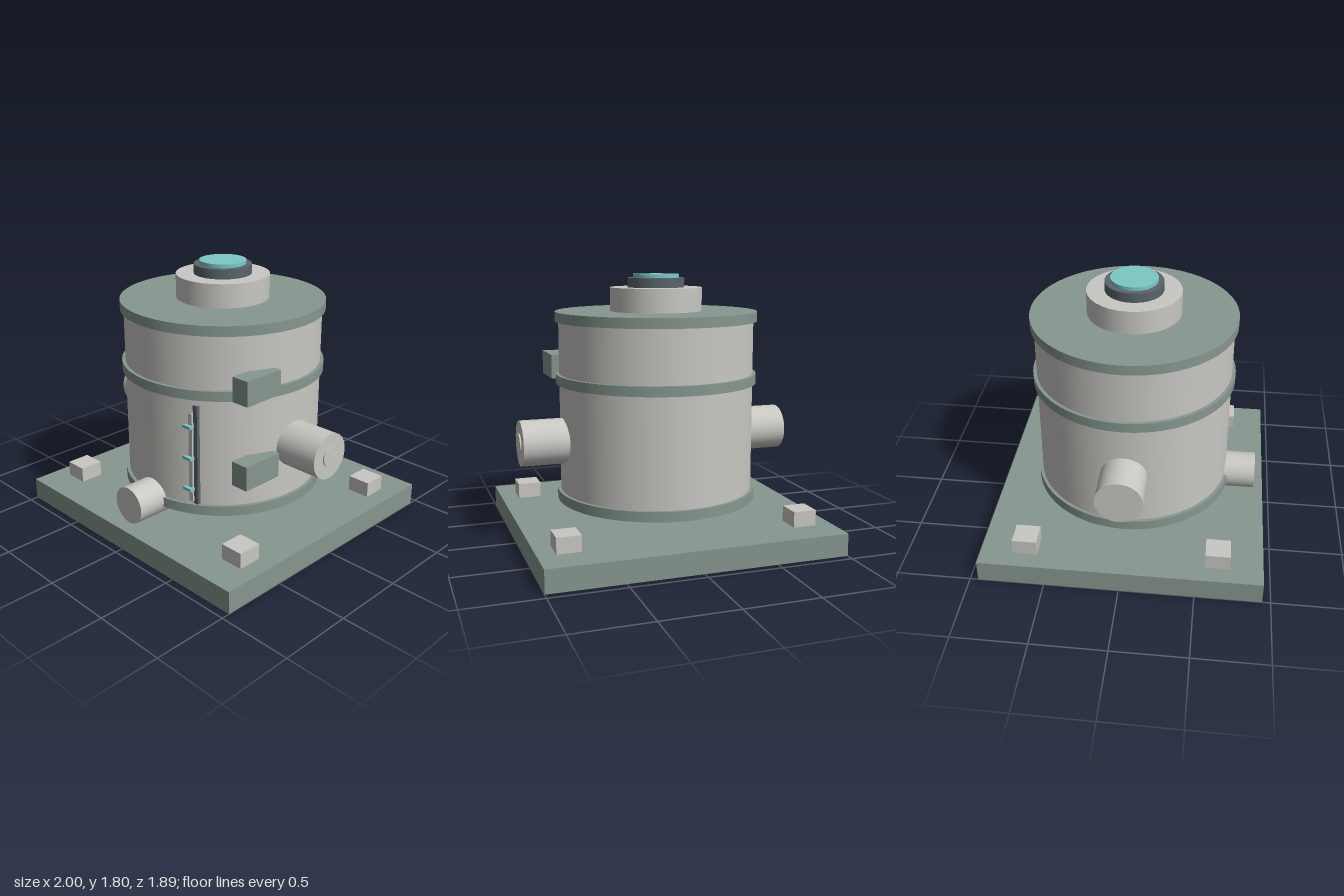
import * as THREE from 'three';

export function createModel() {
  const model = new THREE.Group();
  model.name = 'tank';

  const material = (name, color) => {
    const m = new THREE.MeshStandardMaterial({ color });
    m.name = name;
    return m;
  };
  const green = material('greyGreenPaint', 0x87978f);
  const grey = material('lightGreyMetal', 0xc9c8c3);
  const dark = material('darkSlate', 0x5a646b);
  const teal = material('tealGlass', 0x7cc9c6);

  const add = (name, geometry, mat) => {
    const mesh = new THREE.Mesh(geometry, mat);
    mesh.name = name;
    model.add(mesh);
    return mesh;
  };

  // Box given by its extents on each axis
  const box = (name, mat, [x0, x1], [y0, y1], [z0, z1]) =>
    add(name, new THREE.BoxGeometry(x1 - x0, y1 - y0, z1 - z0), mat)
      .position.set((x0 + x1) / 2, (y0 + y1) / 2, (z0 + z1) / 2);

  // Upright disc or drum between two heights
  const drum = (name, mat, radius, y0, y1, sides = 32) =>
    add(name, new THREE.CylinderGeometry(radius, radius, y1 - y0, sides), mat)
      .position.set(0, (y0 + y1) / 2, 0);

  // Horizontal pipe along 'x' or 'z', from a to b
  const pipe = (name, axis, radius, y, a, b) => {
    const geometry = new THREE.CylinderGeometry(radius, radius, Math.abs(b - a), 32);
    if (axis === 'x') geometry.rotateZ(-Math.PI / 2);
    else geometry.rotateX(Math.PI / 2);
    const mesh = add(name, geometry, grey);
    mesh.position.y = y;
    mesh.position[axis] = (a + b) / 2;
  };

  // Base slab with four blocks near its corners
  box('baseSlab', green, [-1, 1], [0, 0.152], [-0.945, 0.945]);
  for (const x of [-0.8, 0.8]) {
    for (const z of [-0.642, 0.642]) {
      box('footBlock', grey, [x - 0.08, x + 0.08], [0.152, 0.258], [z - 0.082, z + 0.082]);
    }
  }

  // Vessel with three flange rings
  drum('vesselBody', grey, 0.667, 0.28, 1.52, 64);
  drum('bottomFlange', green, 0.69, 0.264, 0.332, 64);
  drum('middleFlange', green, 0.69, 1.068, 1.134, 64);
  drum('topFlange', green, 0.69, 1.489, 1.556, 64);

  // Neck, collar and viewing window on top
  drum('neck', grey, 0.314, 1.556, 1.715);
  drum('collar', dark, 0.194, 1.715, 1.779);
  drum('topWindow', teal, 0.157, 1.779, 1.804);

  // Side pipes, end cap and front drain
  pipe('rightPipe', 'x', 0.155, 0.69, -0.925, -0.6);
  pipe('leftPipe', 'x', 0.155, 0.69, 0.6, 0.96);
  pipe('leftPipeCap', 'x', 0.067, 0.69, 0.95, 0.97);
  pipe('drainPipe', 'z', 0.127, 0.3, 0.6, 0.873);

  // Hinge boxes on the left flank
  for (const y of [0.52, 1.09]) {
    box('hingeBox', green, [0.568, 0.695], [y, y + 0.165], [0.184, 0.484]);
  }

  // Level gauge: dark rail, pale strip and teal marks
  box('gaugeRail', dark, [0.322, 0.358], [0.335, 1.025], [0.53, 0.586]);
  box('gaugeStrip', grey, [0.283, 0.325], [0.35, 0.968], [0.55, 0.599]);
  for (const y of [0.44, 0.66, 0.88]) {
    box('gaugeMark', teal, [0.262, 0.333], [y - 0.01, y + 0.01], [0.56, 0.626]);
  }

  return model;
}
